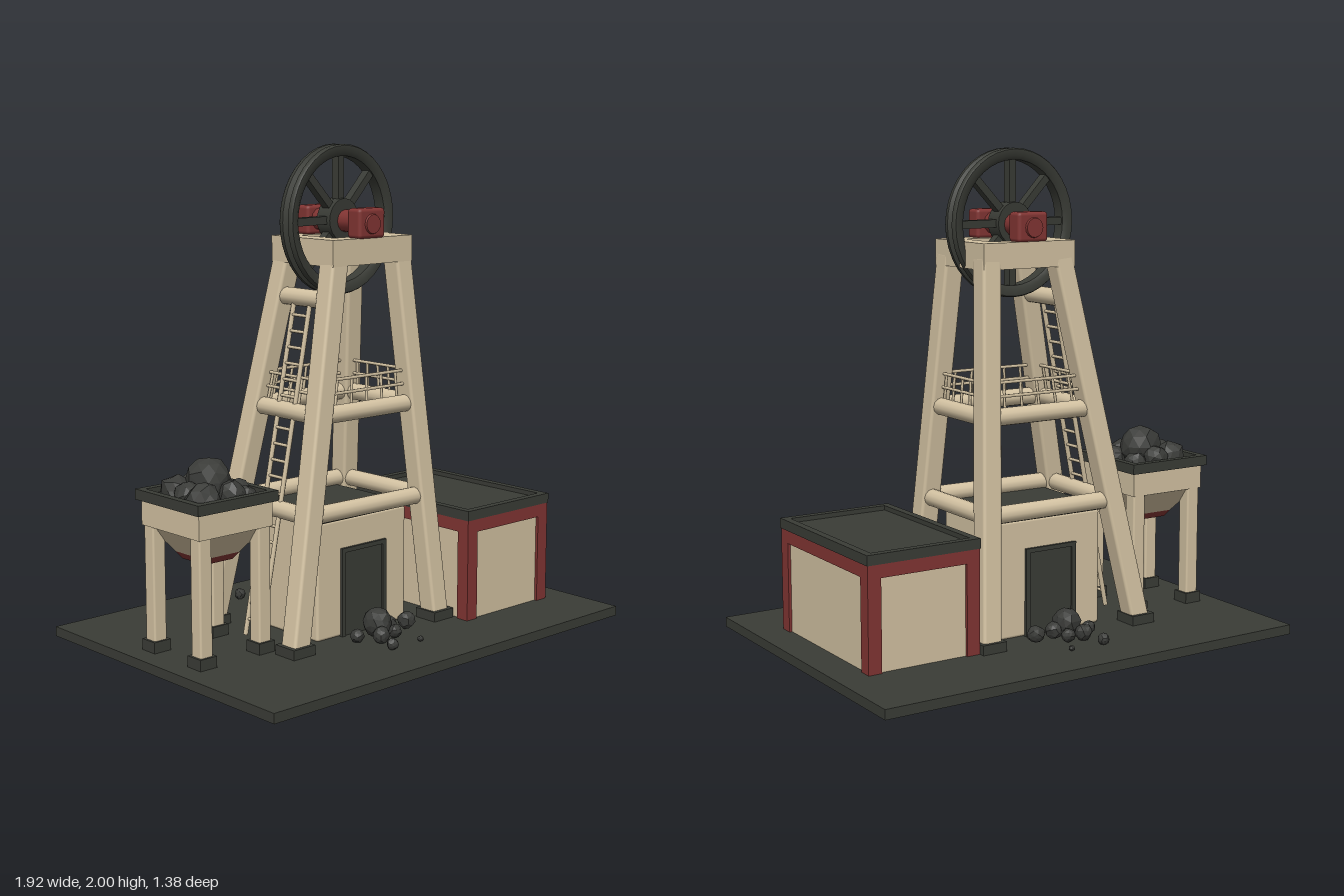
import * as THREE from 'three';
import { toCreasedNormals } from 'three/addons/utils/BufferGeometryUtils.js';
import { RoundedBoxGeometry } from 'three/addons/geometries/RoundedBoxGeometry.js';

const mat = (name, color, extra = {}) =>
  Object.assign(new THREE.MeshStandardMaterial({ color, ...extra }), { name });

export function createModel() {
  const model = new THREE.Group();
  model.name = 'mineHeadframe';
  const cream = mat('cream paint', 0xd3c2a2);
  const red = mat('dark red paint', 0x823533);
  const dark = mat('dark iron', 0x3a3c36);
  const coal = mat('coal', 0x3a3b38, { flatShading: true });

  const V = (x, y, z) => new THREE.Vector3(x, y, z);
  const UP = V(0, 1, 0);
  const add = (name, geo, material, x = 0, y = 0, z = 0, parent = model) => {
    const m = new THREE.Mesh(geo, material);
    m.name = name;
    m.position.set(x, y, z);
    parent.add(m);
    return m;
  };
  // Box given by its limits on each axis
  const box = (name, material, x0, x1, y0, y1, z0, z1, r = 0) => {
    const s = [x1 - x0, y1 - y0, z1 - z0];
    const geo = r ? new RoundedBoxGeometry(...s, 2, r) : new THREE.BoxGeometry(...s);
    return add(name, geo, material, (x0 + x1) / 2, (y0 + y1) / 2, (z0 + z1) / 2);
  };
  // Bar between two points: round, or square with softened edges
  const bar = (name, material, a, b, r, square = false) => {
    const len = a.distanceTo(b);
    const geo = square ? new RoundedBoxGeometry(r * 2, len, r * 2, 2, r * 0.3)
      : new THREE.CylinderGeometry(r, r, len, r > 0.02 ? 12 : 6);
    const m = add(name, geo, material);
    m.position.copy(a).add(b).multiplyScalar(0.5);
    m.quaternion.setFromUnitVectors(UP, b.clone().sub(a).normalize());
    return m;
  };
  // Rectangular ring of width t and height h, lying flat with its underside at y
  const ring = (name, material, x0, x1, z0, z1, t, y, h) => {
    const rect = (C, i) => {
      const w = (x1 - x0) / 2 - i, d = (z1 - z0) / 2 - i;
      return new C([[-w, -d], [w, -d], [w, d], [-w, d]].map(p => new THREE.Vector2(...p)));
    };
    const shape = rect(THREE.Shape, 0);
    shape.holes.push(rect(THREE.Path, t));
    const geo = new THREE.ExtrudeGeometry(shape, { depth: h, bevelEnabled: false });
    geo.rotateX(-Math.PI / 2);
    return add(name, geo, material, (x0 + x1) / 2, y, (z0 + z1) / 2);
  };
  let seed = 7;
  const rnd = () => (seed = (seed * 16807) % 2147483647) / 2147483647;
  // Faceted lump of coal
  const rock = (x, y, z, r) => {
    const geo = new THREE.IcosahedronGeometry(r, 1);
    const p = geo.attributes.position, seen = {};
    for (let i = 0; i < p.count; i++) {
      const v = new THREE.Vector3().fromBufferAttribute(p, i);
      const k = v.toArray().map(n => Math.round(n * 1e4)).join();
      v.multiplyScalar(seen[k] ??= 0.9 + rnd() * 0.2);
      p.setXYZ(i, v.x, v.y, v.z);
    }
    geo.computeVertexNormals();
    add('coalLump', geo, coal, x, y, z).rotation.set(rnd() * 3, rnd() * 3, 0);
  };

  box('groundSlab', dark, -0.96, 0.96, 0, 0.04, -0.69, 0.69);

  // Tower legs: [bottom, top], in order around the tower
  const legs = [
    [V(-0.475, 0.05, 0.25), V(-0.155, 1.58, 0.13)],
    [V(0.28, 0.05, 0.27), V(0.182, 1.58, 0.13)],
    [V(0.28, 0.05, -0.3), V(0.182, 1.58, -0.145)],
    [V(-0.455, 0.05, -0.295), V(-0.155, 1.58, -0.145)],
  ];
  const at = (i, y) => {
    const [a, b] = legs[i % 4];
    return a.clone().lerp(b, (y - a.y) / (b.y - a.y));
  };
  legs.forEach(([a, b]) => {
    bar('towerLeg', cream, a, b, 0.043, true);
    box('towerFoot', dark, a.x - 0.055, a.x + 0.055, 0.035, 0.08, a.z - 0.055, a.z + 0.055);
  });
  for (let i = 0; i < 4; i++) {
    for (const y of [0.565, 0.95]) bar('crossBeam', cream, at(i, y), at(i + 1, y), 0.036);
    // Guard rail
    for (const y of [1.03, 1.085]) bar('guardRail', cream, at(i, y), at(i + 1, y), 0.007);
    for (let k = 1; k <= 5; k++) {
      const p = y => at(i, y).lerp(at(i + 1, y), k / 6);
      bar('railPost', cream, p(0.96), p(1.085), 0.006);
    }
  }
  bar('upperSideBeam', cream, at(3, 1.395), at(0, 1.395), 0.036);
  ring('topFrame', cream, -0.208, 0.225, -0.19, 0.178, 0.085, 1.53, 0.105);

  // Ladder along the sloping side
  const rail = (t, z) => V(-0.475 + 0.27 * t, 0.05 + 1.34 * t, z);
  for (const z of [0.04, -0.055]) bar('ladderRail', cream, rail(0, z), rail(1, z), 0.01);
  for (let k = 1; k < 21; k++) bar('ladderRung', cream, rail(k / 21, 0.04), rail(k / 21, -0.055), 0.007);

  // Winding wheel with grooved rim
  const wheel = new THREE.Group();
  wheel.name = 'windingWheel';
  wheel.position.set(-0.02, 1.7, 0);
  wheel.rotation.y = 0.075;
  model.add(wheel);
  const profile = [[0.253, -0.025], [0.27, -0.036], [0.295, -0.036], [0.3, -0.028], [0.3, -0.014], [0.278, 0],
    [0.3, 0.014], [0.3, 0.028], [0.295, 0.036], [0.27, 0.036], [0.253, 0.025], [0.253, -0.025]];
  const rim = new THREE.LatheGeometry(profile.map(p => new THREE.Vector2(...p)), 40).rotateX(Math.PI / 2);
  add('wheelRim', toCreasedNormals(rim, 0.7), dark, 0, 0, 0, wheel);
  add('wheelHub', new THREE.CylinderGeometry(0.085, 0.085, 0.07, 20).rotateX(Math.PI / 2), dark, 0, 0, 0, wheel);
  for (let k = 0; k < 8; k++) {
    const geo = new THREE.BoxGeometry(0.2, 0.032, 0.036).translate(0.165, 0, 0);
    add('wheelSpoke', geo, dark, 0, 0, 0, wheel).rotation.z = k * Math.PI / 4;
  }
  bar('wheelShaft', red, V(-0.012, 1.695, -0.13), V(-0.012, 1.695, 0.13), 0.045);
  for (const s of [1, -1]) {
    const z = s * 0.153 - 0.002;
    box('shaftBearing', red, -0.077, 0.065, 1.632, 1.752, z - 0.038, z + 0.038, 0.015);
    const cap = new THREE.CylinderGeometry(0.038, 0.042, 0.012, 16).rotateX(s * Math.PI / 2);
    add('bearingCap', cap, red, -0.008, 1.69, z + s * 0.04);
  }

  // Shaft house beneath the tower, with a doorway front and back
  box('shaftHouse', cream, -0.315, 0.175, 0.04, 0.525, -0.225, 0.2, 0.012);
  box('shaftHouseRoof', dark, -0.32, 0.18, 0.523, 0.54, -0.23, 0.205);
  for (const [z, s] of [[0.2, 1], [-0.225, -1]]) {
    box('doorway', dark, -0.19, 0.055, 0.04, 0.405, z - 0.004, z + 0.004);
    for (const [x0, x1, y0] of [[-0.19, -0.17, 0.04], [0.035, 0.055, 0.04], [-0.17, 0.035, 0.387]])
      box('doorFrame', dark, x0, x1, y0, 0.405, z - 0.012, z + 0.012);
    // Spilled coal
    [[-0.08, 0.1, 0.1, 0.058], [-0.12, 0.07, 0.165, 0.035], [-0.045, 0.07, 0.165, 0.028], [0.075, 0.08, 0.11, 0.036],
      [-0.19, 0.065, 0.1, 0.028], [-0.15, 0.062, 0.26, 0.024], [0.005, 0.05, 0.26, 0.012], [-0.02, 0.08, 0.1, 0.035]]
      .forEach(([x, y, d, r]) => rock(x, y, z + s * d, r));
  }

  // Side building: cream walls in a red frame, flat lipped roof
  const [hx0, hx1, hz0, hz1] = [0.335, 0.83, -0.33, 0.405];
  box('sideWalls', cream, hx0 + 0.012, hx1 - 0.012, 0.04, 0.45, hz0 + 0.012, hz1 - 0.012);
  for (const x of [hx0, hx1 - 0.058])
    for (const z of [hz0, hz1 - 0.058]) box('cornerPost', red, x, x + 0.058, 0.04, 0.42, z, z + 0.058);
  ring('eavesBand', red, hx0, hx1, hz0, hz1, 0.058, 0.412, 0.055);
  box('flatRoof', dark, hx0 + 0.01, hx1 - 0.01, 0.45, 0.488, hz0 + 0.01, hz1 - 0.01);
  ring('roofLip', dark, hx0 - 0.003, hx1 + 0.003, hz0 - 0.003, hz1 + 0.003, 0.032, 0.466, 0.041);

  // Coal hopper on four posts
  const cx = -0.69, cz = -0.022;
  const taper = (rTop, rBot, h) => new THREE.CylinderGeometry(rTop * Math.SQRT2, rBot * Math.SQRT2, h, 4)
    .rotateY(Math.PI / 4).toNonIndexed();
  const funnel = (name, m, rTop, rBot, y0, y1) => {
    const geo = taper(rTop, rBot, y1 - y0);
    geo.computeVertexNormals();
    add(name, geo, m, cx, (y0 + y1) / 2, cz);
  };
  box('hopperBin', cream, cx - 0.18, cx + 0.18, 0.545, 0.65, cz - 0.18, cz + 0.18);
  funnel('hopperFunnel', cream, 0.165, 0.088, 0.44, 0.546);
  funnel('hopperChute', red, 0.088, 0.07, 0.412, 0.44);
  ring('hopperRim', dark, cx - 0.196, cx + 0.196, cz - 0.198, cz + 0.198, 0.03, 0.645, 0.042);
  box('coalBed', coal, cx - 0.17, cx + 0.17, 0.645, 0.665, cz - 0.17, cz + 0.17);
  for (const sx of [-1, 1])
    for (const sz of [-1, 1]) {
      const x = cx + sx * 0.145, z = cz + sz * 0.145;
      box('hopperPost', cream, x - 0.03, x + 0.03, 0.06, 0.56, z - 0.03, z + 0.03, 0.008);
      box('hopperFoot', dark, x - 0.04, x + 0.04, 0.04, 0.085, z - 0.04, z + 0.04);
    }
  [[-0.675, 0.725, -0.025, 0.088], [-0.785, 0.675, 0.08, 0.07], [-0.775, 0.68, -0.1, 0.066], [-0.58, 0.67, -0.115, 0.047],
    [-0.645, 0.68, 0.08, 0.055], [-0.575, 0.675, 0.025, 0.047], [-0.685, 0.685, -0.125, 0.05], [-0.59, 0.665, 0.09, 0.045],
    [-0.79, 0.68, -0.01, 0.055]].forEach(r => rock(r[0], r[1], r[2], r[3]));

  return model;
}
